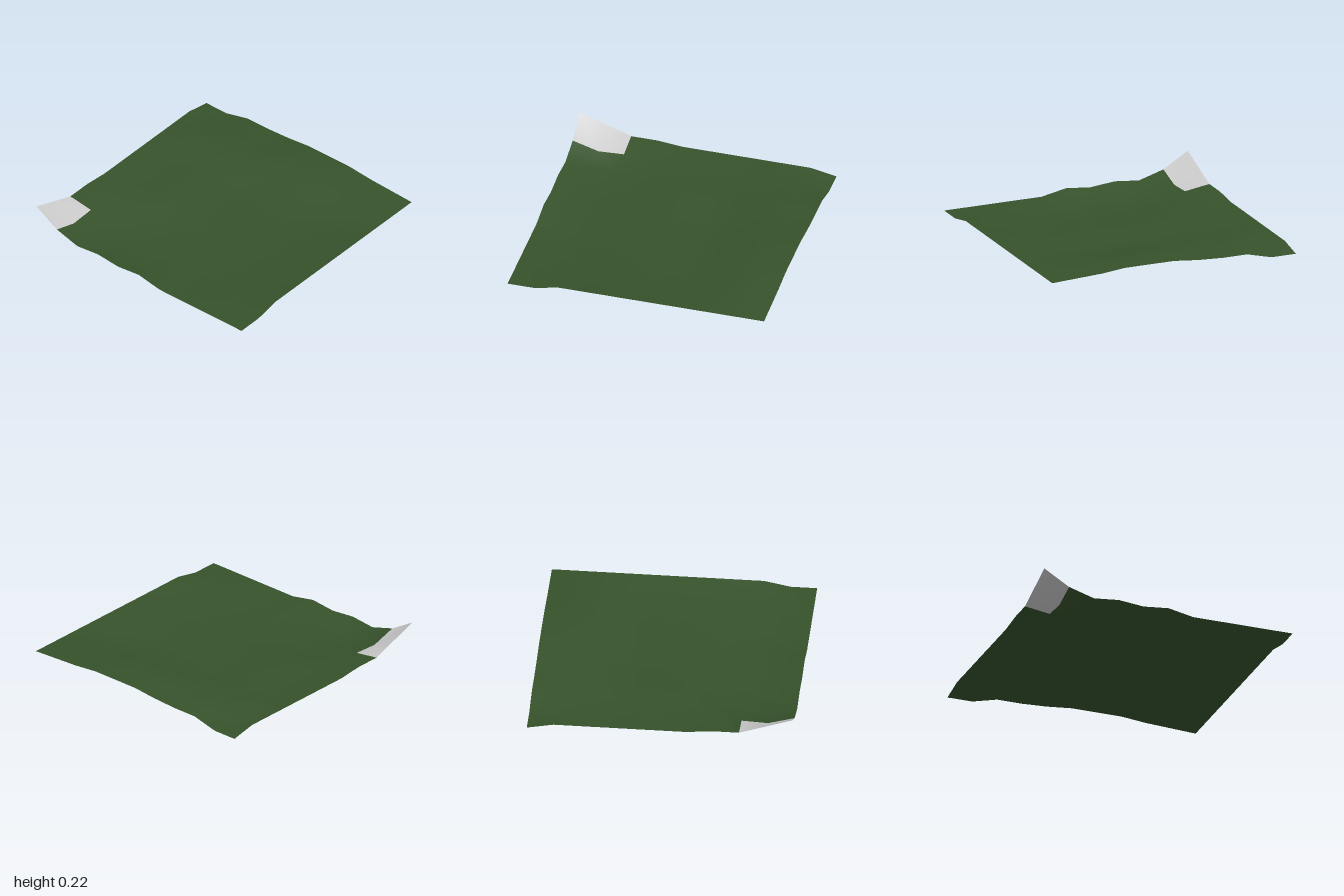
import * as THREE from 'three';

const CELLS = 10;

// Border heights in hundredths of a unit: back and front run along +x, the sides along +z
const BACK = [2, 2, 7, 7, 8, 10, 10, 10, 8, 7, 6];
const FRONT = [22, 10, 4, 6, 4, 6, 2, 2, 2, 2, 2];
const RIGHT_SIDE = [2, 6, 6, 6, 6, 6, 6, 8, 8, 15, 22];
const LEFT_SIDE = [6, 6, 6, 6, 6, 6, 6, 6, 6, 2, 2];

// Height at grid column i, row j: a raised back ridge, a flat middle and a hollow near the front
function heightAt(i, j) {
  if (j === 0) return BACK[i];
  if (j === CELLS) return FRONT[i];
  if (i === 0) return RIGHT_SIDE[j];
  if (i === CELLS) return LEFT_SIDE[j];
  if (j === 1) return BACK[i];
  if (j === 2) return i > 3 && i < 8 ? 8 : 7;
  if (j >= 7) {
    if (i === 1) return j === 9 ? 4 : 5;
    return i >= 3 && i <= 7 ? 0 : 2;
  }
  return i >= 4 && i <= 8 ? 2 : 4;
}

export function createModel() {
  const group = new THREE.Group();
  group.name = 'terrainPatch';

  // Rolling sheet
  const sheet = new THREE.PlaneGeometry(2, 2, CELLS, CELLS).rotateX(-Math.PI / 2);
  const position = sheet.attributes.position;
  for (let j = 0; j <= CELLS; j++) {
    for (let i = 0; i <= CELLS; i++) {
      position.setY(j * (CELLS + 1) + i, heightAt(i, j) / 100);
    }
  }
  sheet.computeVertexNormals();

  // Split the cells between the ground and the bare raised corner
  const indices = Array.from(sheet.index.array);
  const isCorner = (cell) => cell % CELLS === 0 && cell >= 8 * CELLS;
  const addPart = (name, color, keep) => {
    const geometry = sheet.clone();
    geometry.setIndex(indices.filter((_, n) => keep(Math.floor(n / 6))));
    const material = new THREE.MeshStandardMaterial({ color, side: THREE.DoubleSide });
    const mesh = new THREE.Mesh(geometry.toNonIndexed(), material);
    mesh.name = name;
    group.add(mesh);
  };
  addPart('grassGround', 0x36522b, (cell) => !isCorner(cell));
  addPart('raisedCorner', 0xcccccc, isCorner);

  return group;
}
